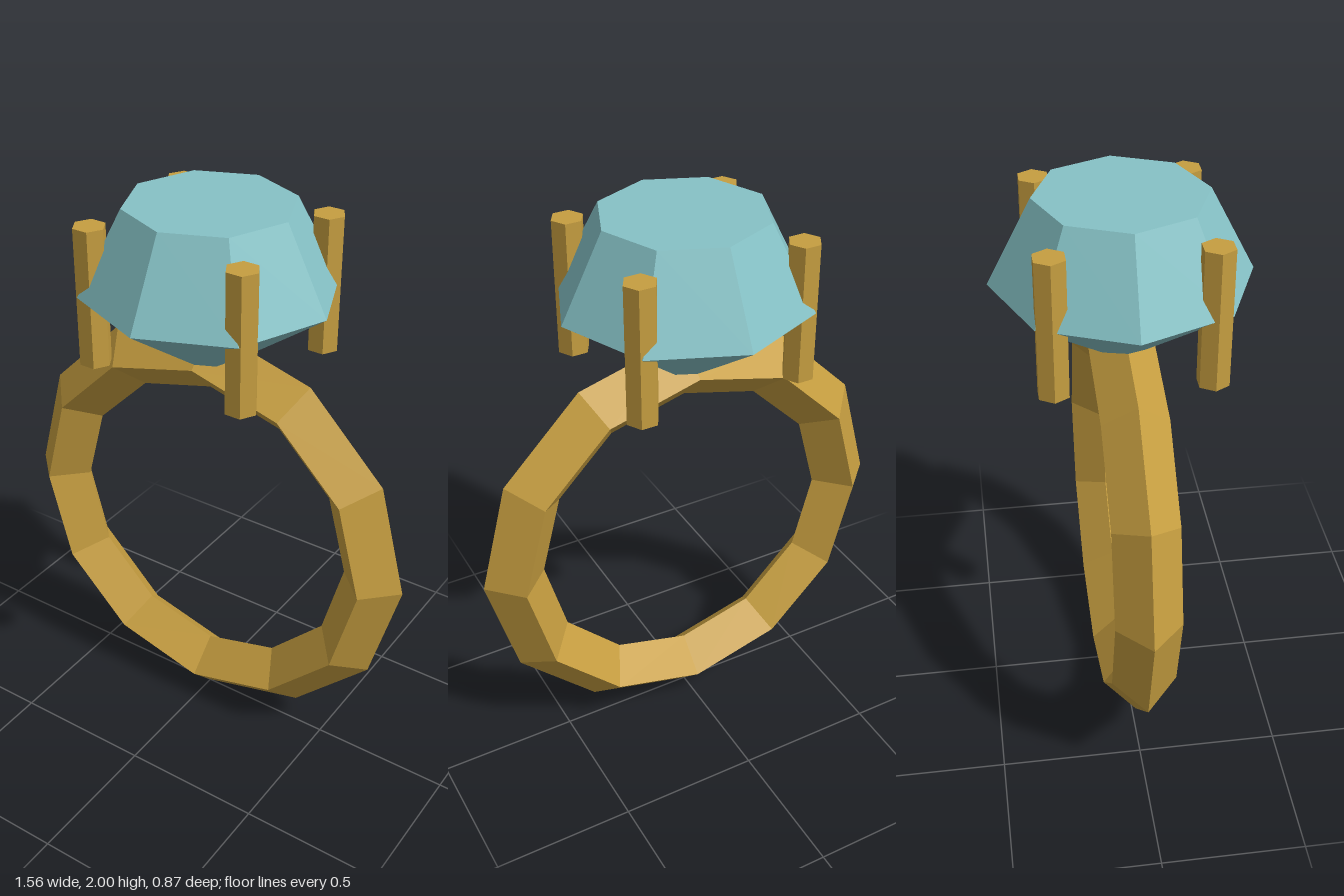
import * as THREE from 'three';

export function createModel() {
  const gold = new THREE.MeshStandardMaterial({ color: 0xc69e40, flatShading: true });
  gold.name = 'gold';
  const blue = new THREE.MeshStandardMaterial({ color: 0x86c2c6, flatShading: true });
  blue.name = 'pale blue gem';

  const model = new THREE.Group();
  model.name = 'ring';

  const add = (parent, name, geometry, material, x, y, z) => {
    const mesh = new THREE.Mesh(geometry, material);
    mesh.name = name;
    mesh.position.set(x, y, z);
    parent.add(mesh);
  };

  // Band: twelve-sided hoop with a diamond cross-section
  add(model, 'band', new THREE.TorusGeometry(0.667, 0.112, 4, 12), gold, 0, 0.782, 0);

  // Gem: eight-sided crown above a pointed pavilion, meeting at the girdle
  const girdleY = 1.71, topY = 2, tipY = 1.395, girdleR = 0.435;
  const profile = [[0, tipY], [girdleR, girdleY], [0.285, topY], [0, topY]]
    .map(([r, y]) => new THREE.Vector2(r, y));
  add(model, 'gem', new THREE.LatheGeometry(profile, 8), blue, 0, 0, 0);

  // Four hexagonal prongs around the gem
  const prongs = new THREE.Group();
  prongs.name = 'prongs';
  model.add(prongs);
  const prongGeometry = new THREE.CylinderGeometry(0.056, 0.056, 0.48, 6).rotateY(Math.PI / 2);
  for (const sx of [-1, 1]) {
    for (const sz of [-1, 1]) {
      const name = `${sz > 0 ? 'front' : 'back'}${sx > 0 ? 'Left' : 'Right'}Prong`;
      add(prongs, name, prongGeometry, gold, sx * 0.286, 1.703, sz * 0.255);
    }
  }

  return model;
}
